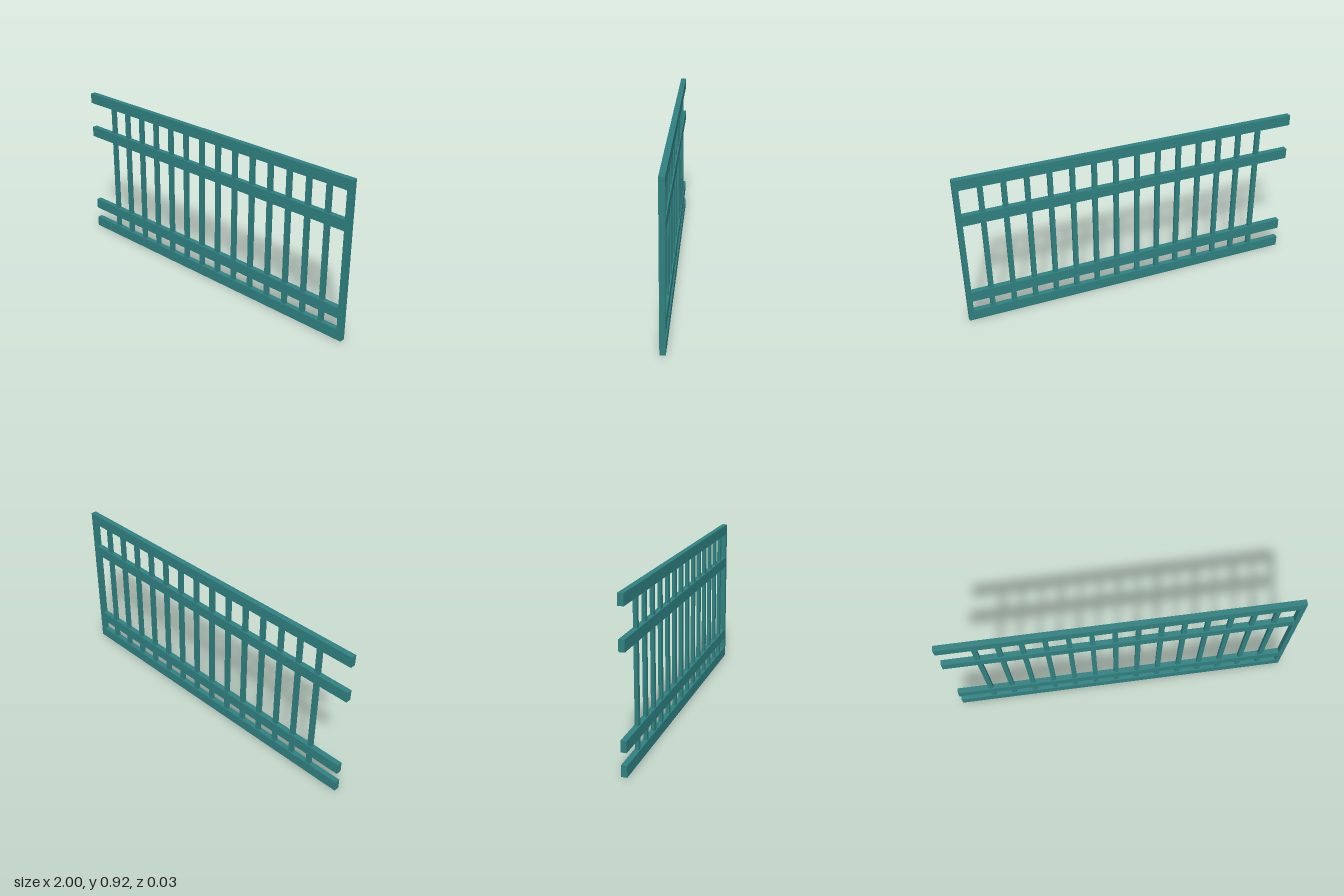
import * as THREE from 'three';

export function createModel() {
  const group = new THREE.Group();
  const material = new THREE.MeshStandardMaterial({ color: 0x2f7f7f, flatShading: true });
  const depth = 0.032;
  const railHeight = 0.062;
  const height = 0.922;
  const postWidth = 0.03;

  // Box given by its left, right, bottom and top edges, centred on z
  function bar(name, x0, x1, y0, y1, d) {
    const mesh = new THREE.Mesh(new THREE.BoxGeometry(x1 - x0, y1 - y0, d), material);
    mesh.position.set((x0 + x1) / 2, (y0 + y1) / 2, 0);
    mesh.name = name;
    group.add(mesh);
  }

  // Outer rails run the full length, inner rails stop at the post
  const rail = (name, y, end) => bar(name, -1, end, y, y + railHeight, depth);
  rail('bottomRail', 0, 1);
  rail('lowerMiddleRail', 0.13, 1 - postWidth);
  rail('upperMiddleRail', 0.638, 1 - postWidth);
  rail('topRail', height - railHeight, 1);

  // End post between the outer rails
  bar('endPost', 1 - postWidth, 1, railHeight, height - railHeight, depth);

  // Thin balusters, set back from the rail faces
  const count = 14, first = -0.797, last = 0.855, half = 0.014;
  for (let i = 0; i < count; i++) {
    const x = first + (last - first) * i / (count - 1);
    bar('baluster' + (i + 1), x - half, x + half, railHeight, height - railHeight, 0.02);
  }
  return group;
}
